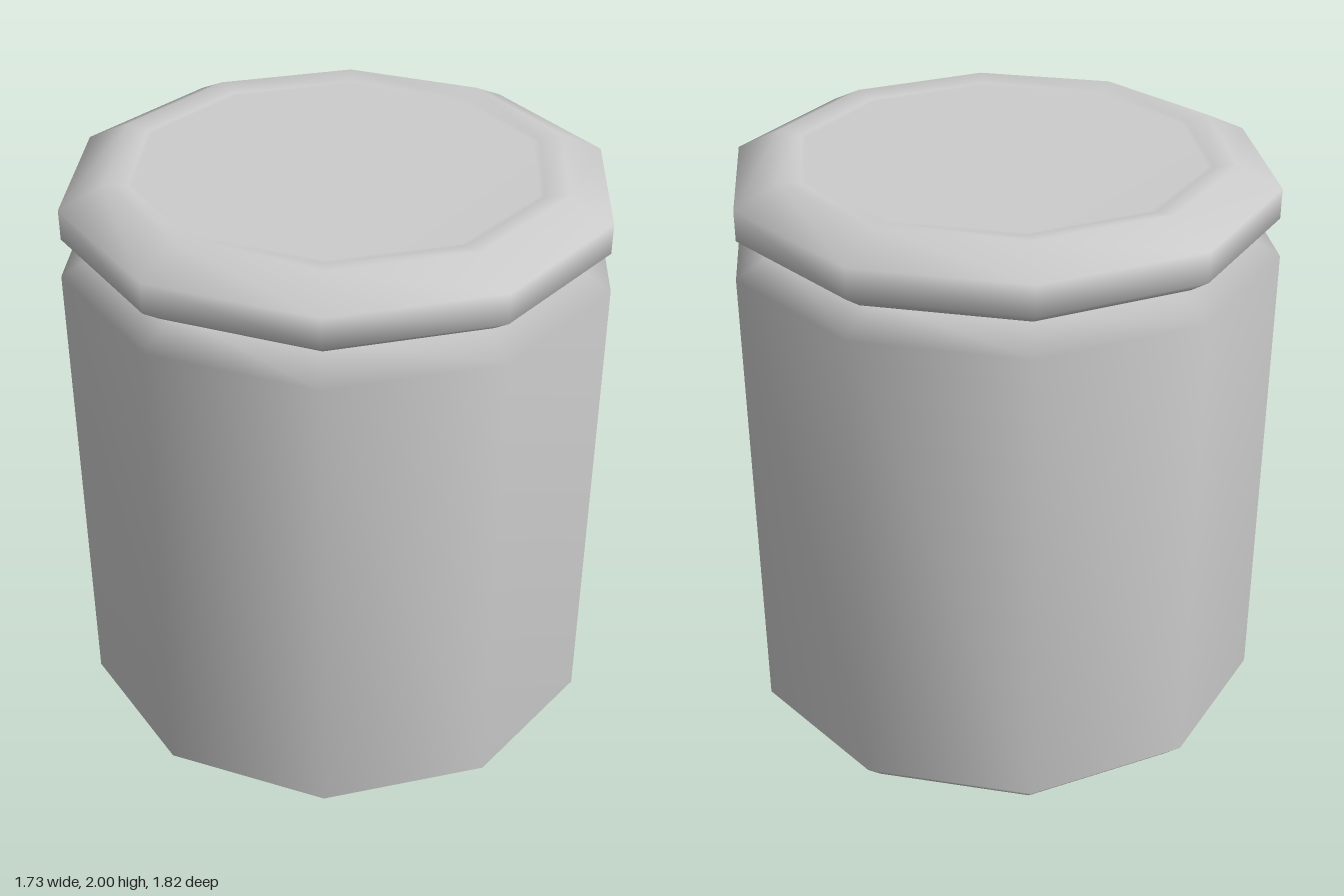
import * as THREE from 'three';

const SIDES = 10;

// Ten-sided smooth turned part; profile is [radius, y] from bottom to top
function turned(name, profile) {
  const points = profile.map(([r, y]) => new THREE.Vector2(r, y));
  const mesh = new THREE.Mesh(
    new THREE.LatheGeometry(points, SIDES),
    new THREE.MeshStandardMaterial({ color: 0xcccccc })
  );
  mesh.name = name;
  return mesh;
}

export function createModel() {
  const group = new THREE.Group();
  group.name = 'jar';

  // Body: flat base, chamfered foot, straight wall, sloped shoulder
  group.add(turned('body', [
    [0, 0], [0.8, 0], [0.84, 0.005], [0.91, 0.075],
    [0.91, 1.7], [0.775, 1.777], [0, 1.777],
  ]));

  // Lid: rounded rim around a slightly sunken flat top
  group.add(turned('lid', [
    [0, 1.775], [0.77, 1.775], [0.835, 1.785], [0.9, 1.83], [0.9, 1.93],
    [0.755, 2], [0.68, 1.985], [0.66, 1.984], [0, 1.984],
  ]));

  return group;
}
